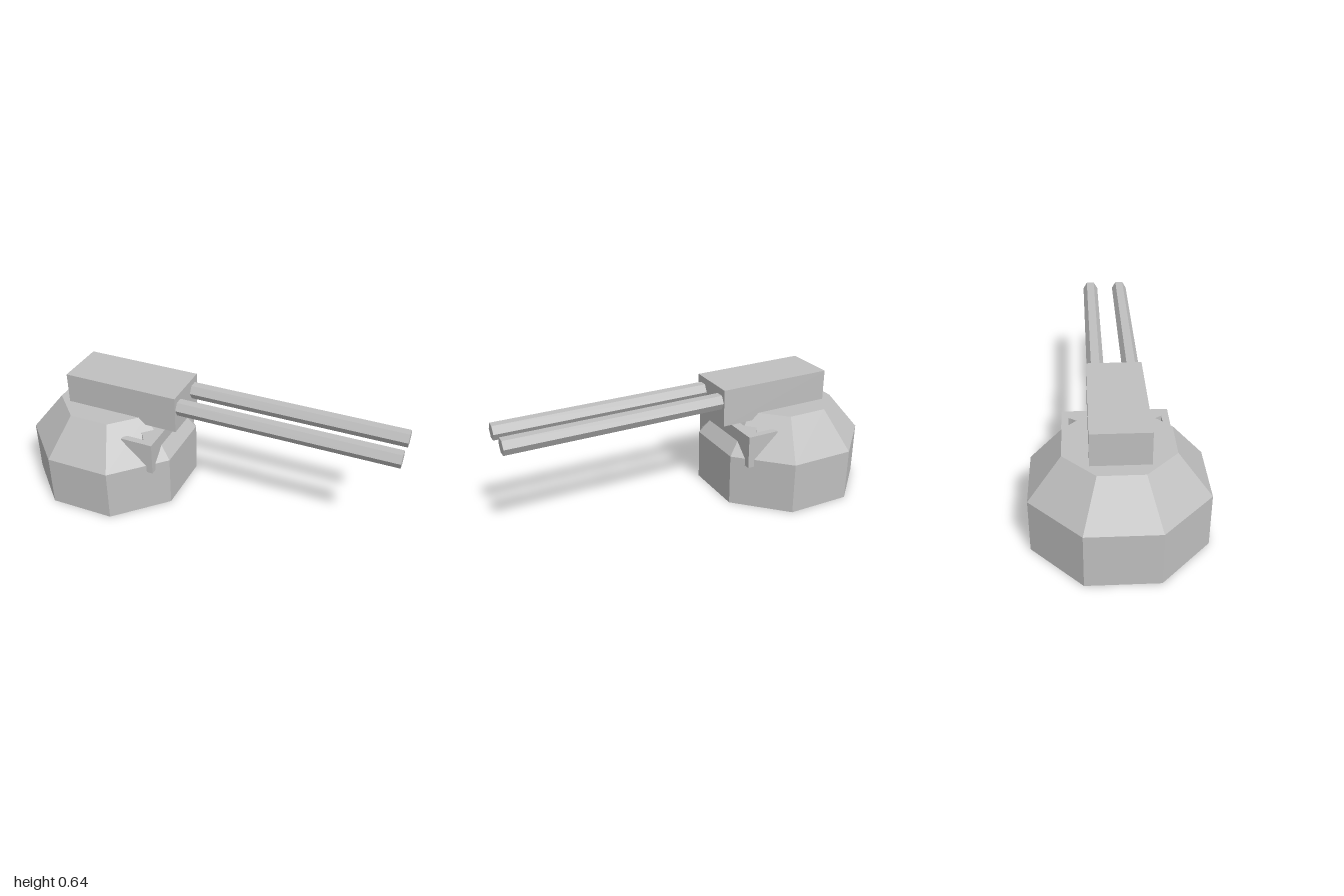
import * as THREE from 'three';

export function createModel() {
  const model = new THREE.Group();
  model.name = 'gunTurret';
  const grey = new THREE.MeshStandardMaterial({ color: 0xbfbfbf, flatShading: true });
  grey.name = 'plain grey';

  const add = (name, geometry, x = 0, y = 0, z = 0) => {
    const mesh = new THREE.Mesh(geometry, grey);
    mesh.name = name;
    mesh.position.set(x, y, z);
    model.add(mesh);
    return mesh;
  };
  const extrude = (points, depth) => new THREE.ExtrudeGeometry(
    new THREE.Shape(points.map(([a, b]) => new THREE.Vector2(a, b))),
    { depth, bevelEnabled: false });

  // Octagonal base and sloped upper housing, flats facing the axes
  const corner = 1 / Math.cos(Math.PI / 8);
  const octagon = (top, bottom, h) => new THREE.CylinderGeometry(
    top * corner, bottom * corner, h, 8, 1, false, Math.PI / 8);
  add('base', octagon(0.418, 0.418, 0.28), -0.582, 0.14);
  add('slopedHousing', octagon(0.26, 0.418, 0.2), -0.582, 0.38);

  // Gun housing
  add('gunHousing', new THREE.BoxGeometry(0.63, 0.2, 0.276), -0.455, 0.545);

  // Twin six-sided barrels with flats on top and bottom
  for (const side of [-1, 1]) {
    const barrel = new THREE.CylinderGeometry(0.0435, 0.0435, 1.16, 6);
    barrel.rotateZ(-Math.PI / 2);
    add(side > 0 ? 'leftBarrel' : 'rightBarrel', barrel, 0.42, 0.571, side * 0.09);
  }

  // Small lug under the gun housing
  const lug = extrude([[-0.055, 0.447], [-0.035, 0.426], [0.035, 0.426], [0.055, 0.447]], 0.075);
  lug.rotateY(Math.PI / 2);
  add('housingLug', lug, -0.242);

  // Front wall of the bracket, arched over the middle
  const arch = [[0.265, 0.417], [0.265, 0.241], [0.23, 0.241], [0.23, 0.28], [0.153, 0.345]];
  const wall = extrude([...arch, ...arch.map(([z, y]) => [-z, y]).reverse()], 0.034);
  wall.rotateY(Math.PI / 2);
  add('bracketFront', wall, -0.253);

  // Tapered side wings of the bracket
  const wing = [[-0.392, 0.417], [-0.392, 0.408], [-0.253, 0.28],
    [-0.253, 0.241], [-0.22, 0.241], [-0.22, 0.417]];
  for (const side of [-1, 1]) {
    add(side > 0 ? 'leftBracketWing' : 'rightBracketWing',
      extrude(wing, 0.035), 0, 0, side > 0 ? 0.23 : -0.265);
  }

  // Bracket deck, running back into the housing with notched corners
  const edge = [[-0.23, 0.24], [-0.275, 0.24], [-0.29, 0.215], [-0.32, 0.175], [-0.4, 0.1]];
  const deck = extrude([...edge, ...edge.map(([x, z]) => [x, -z]).reverse()], 0.06);
  deck.rotateX(Math.PI / 2);
  add('bracketDeck', deck, 0, 0.417);

  return model;
}
